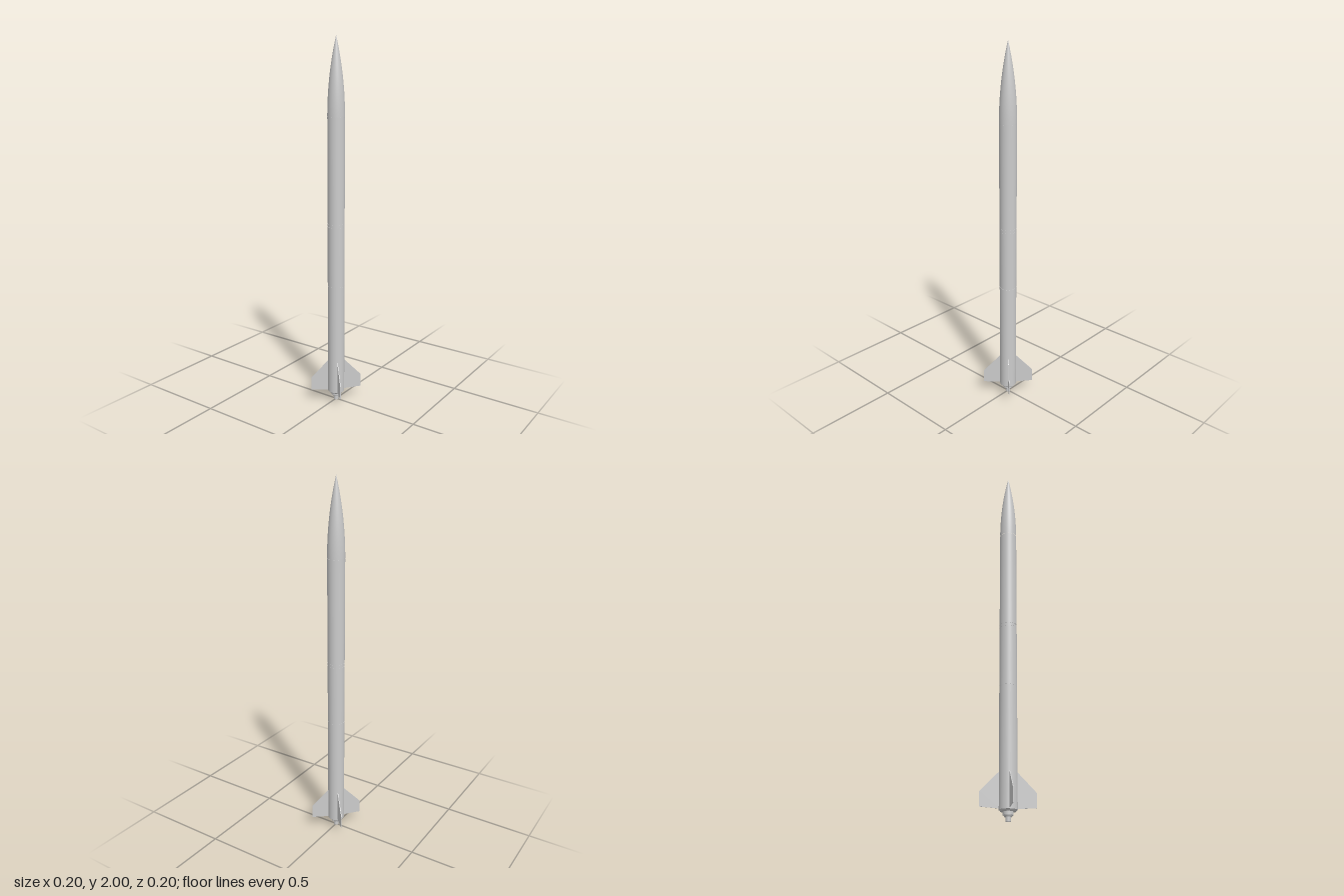
import * as THREE from 'three';

const R = 0.046; // body radius
const SIDES = 48;

export function createModel() {
  const rocket = new THREE.Group();
  rocket.name = 'rocket';
  const material = new THREE.MeshStandardMaterial({ color: 0xcccccc });

  const add = (name, geometry) => {
    const mesh = new THREE.Mesh(geometry, material);
    mesh.name = name;
    rocket.add(mesh);
    return mesh;
  };
  const tube = (name, y0, y1, rBottom, rTop = rBottom) =>
    add(name, new THREE.CylinderGeometry(rTop, rBottom, y1 - y0, SIDES)).position.y = (y0 + y1) / 2;

  // Body tubes with a shallow joint band between them
  tube('lowerBodyTube', 0.055, 0.677, R);
  tube('middleBodyTube', 0.68, 1.009, R);
  tube('lowerJoint', 0.677, 0.68, R - 0.001);
  tube('jointGroove', 1.009, 1.012, R - 0.001);
  tube('jointBand', 1.012, 1.026, R);
  tube('upperGroove', 1.026, 1.029, R - 0.001);
  tube('upperBodyTube', 1.029, 1.59, R);
  tube('noseJoint', 1.59, 1.593, R - 0.001);

  // Tangent ogive nose cone
  const noseBase = 1.593, noseLength = 2 - noseBase;
  const rho = (R * R + noseLength * noseLength) / (2 * R);
  const profile = [];
  for (let i = 0; i <= 24; i++) {
    const h = (noseLength * i) / 24;
    const r = Math.sqrt(rho * rho - h * h) + R - rho;
    profile.push(new THREE.Vector2(Math.max(0, r), noseBase + h));
  }
  add('noseCone', new THREE.LatheGeometry(profile, SIDES));

  // Stepped tail: closing ring, motor retainer and nozzle
  tube('tailRing', 0.047, 0.055, R - 0.008, R - 0.002);
  tube('motorRetainer', 0.03, 0.047, 0.026);
  tube('nozzleCollar', 0.022, 0.03, 0.018, 0.022);
  tube('nozzle', 0, 0.022, 0.013);

  // Four swept fins on the diagonals
  const finShape = new THREE.Shape([
    [R - 0.004, 0.06], [0.141, 0.067], [0.141, 0.14], [R, 0.237], [R - 0.004, 0.237],
  ].map(([x, y]) => new THREE.Vector2(x, y)));
  const thickness = 0.003;
  const finGeometry = new THREE.ExtrudeGeometry(finShape, { depth: thickness, bevelEnabled: false });
  finGeometry.translate(0, 0, -thickness / 2);
  ['frontLeft', 'backLeft', 'backRight', 'frontRight'].forEach((corner, i) => {
    add(corner + 'Fin', finGeometry).rotation.y = -Math.PI / 4 + (i * Math.PI) / 2;
  });

  return rocket;
}
